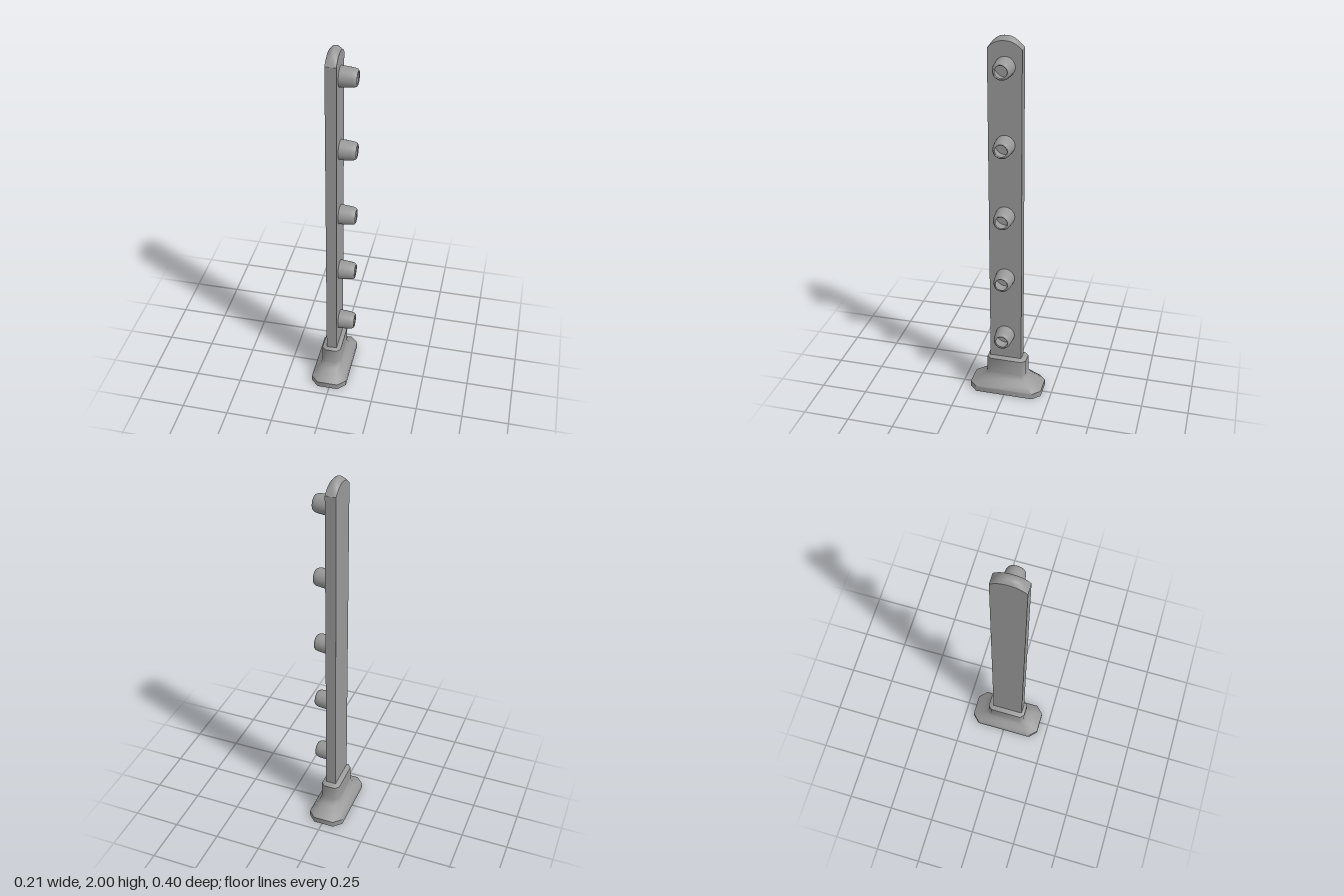
import * as THREE from 'three';
import { toCreasedNormals } from 'three/addons/utils/BufferGeometryUtils.js';

const material = new THREE.MeshStandardMaterial({ color: 0x999999, side: THREE.DoubleSide });

// Skin a series of convex rings (counter-clockwise seen from the last one)
function loft(rings, capStart, capEnd, crease) {
  const n = rings[0].length;
  const index = [];
  for (let i = 0; i < rings.length - 1; i++) {
    for (let j = 0; j < n; j++) {
      const k = (j + 1) % n;
      const a = i * n + j, b = i * n + k;
      index.push(a, b, b + n, a, b + n, a + n);
    }
  }
  const last = (rings.length - 1) * n;
  for (let j = 1; j < n - 1; j++) {
    if (capStart) index.push(0, j + 1, j);
    if (capEnd) index.push(last, last + j, last + j + 1);
  }
  const geometry = new THREE.BufferGeometry();
  geometry.setAttribute('position', new THREE.Float32BufferAttribute(rings.flat(2), 3));
  geometry.setIndex(index);
  return toCreasedNormals(geometry, crease);
}

// Rectangle with cut corners, lying flat at height y
function octagon(y, halfX, halfZ, cut) {
  const cx = -0.009;
  const x = halfX - cut, z = halfZ - cut;
  return [
    [halfX, z], [halfX, -z], [x, -halfZ], [-x, -halfZ],
    [-halfX, -z], [-halfX, z], [-x, halfZ], [x, halfZ],
  ].map(([px, pz]) => [cx + px, y, pz]);
}

// Outline of the post at one x, with its arched top lowered by drop
function postOutline(x, drop) {
  const bottom = 0.2, shoulder = 1.94, half = 0.086, steps = 16;
  const ring = [[x, bottom, 0.005 - half]];
  for (let i = 0; i <= steps; i++) {
    const u = (i / steps) * 2 - 1;
    const arch = 1 - Math.abs(u) ** 2.4;
    ring.push([x, shoulder + (0.06 - drop) * arch, 0.01 + u * half]);
  }
  ring.push([x, bottom, 0.005 + half]);
  return ring;
}

export function createModel() {
  const model = new THREE.Group();
  const add = (name, geometry) => {
    const mesh = new THREE.Mesh(geometry, material);
    mesh.name = name;
    model.add(mesh);
    return mesh;
  };

  // Hollow flared foot: height, half width, half depth, corner cut
  const footRings = [
    [0, 0.097, 0.199, 0.041],
    [0.032, 0.097, 0.199, 0.041],
    [0.062, 0.077, 0.157, 0.032],
    [0.085, 0.061, 0.127, 0.025],
    [0.108, 0.052, 0.109, 0.02],
    [0.199, 0.051, 0.108, 0.02],
    [0.21, 0.0375, 0.0945, 0.014],
  ].map((r) => octagon(...r));
  add('foot', loft(footRings, false, true, 0.82));

  // Flat upright with a softened arched top
  const postRings = [
    [-0.035, 0.02], [-0.026, 0.009], [-0.017, 0.002], [-0.0075, 0],
    [0.002, 0.002], [0.011, 0.009], [0.02, 0.02],
  ].map((r) => postOutline(...r));
  add('post', loft(postRings, true, true, 0.5));

  // Hollow tapered pegs with a rolled lip along the left face
  const profile = [
    [0.051, 0], [0.05, 0.03], [0.047, 0.06], [0.045, 0.072],
    [0.042, 0.08], [0.037, 0.0855], [0.033, 0.086], [0.03, 0.082],
  ].map(([r, y]) => new THREE.Vector2(r, y));
  const pegGeometry = new THREE.LatheGeometry(profile, 32).rotateZ(-Math.PI / 2);
  [0.355, 0.708, 1.068, 1.456, 1.854].forEach((y, i) => {
    add(`peg${i + 1}`, pegGeometry).position.set(0.019, y, 0.008);
  });

  return model;
}
